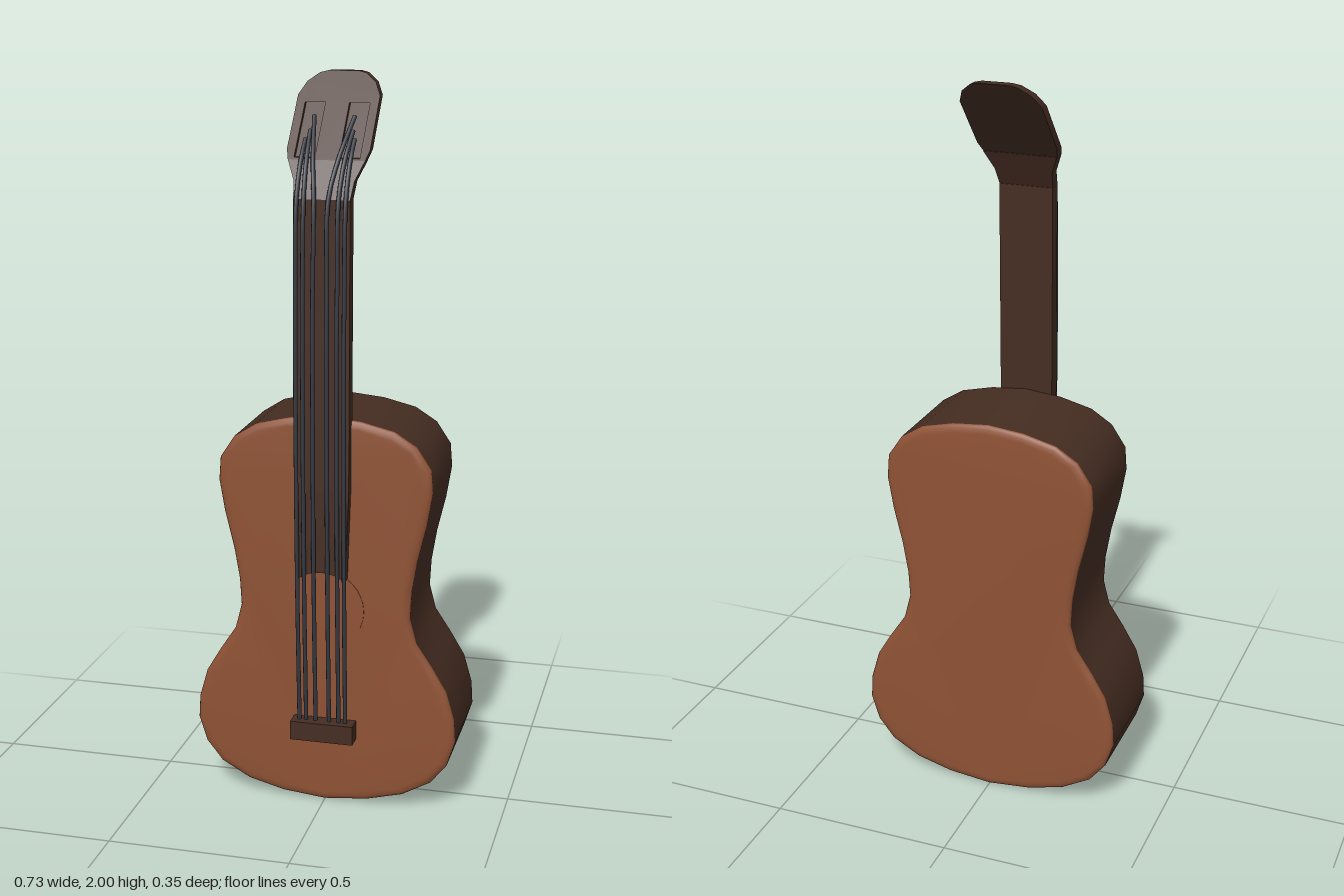
import * as THREE from 'three';
import { toCreasedNormals } from 'three/addons/utils/BufferGeometryUtils.js';

const wood = new THREE.MeshStandardMaterial({ color: 0x8f5235 });
wood.name = 'warm wood';
const darkWood = new THREE.MeshStandardMaterial({ color: 0x452d22 });
darkWood.name = 'dark wood';
const steel = new THREE.MeshStandardMaterial({ color: 0x353841 });
steel.name = 'string steel';

function add(parent, name, geometry, material) {
  const mesh = new THREE.Mesh(geometry, material);
  mesh.name = name;
  parent.add(mesh);
  return mesh;
}

// Closed symmetric shape from right-hand points listed bottom to top
function mirrored(points) {
  const right = points.map(([x, y]) => new THREE.Vector2(x, y));
  const left = points.filter(([x]) => x > 0).reverse().map(([x, y]) => new THREE.Vector2(-x, y));
  return new THREE.Shape([...right, ...left]);
}

// Slab whose front runs from depth zA at height yA to zB at yB
function leaningSlab(shape, [yA, zA], [yB, zB], thickness, inset = 0) {
  const g = new THREE.ExtrudeGeometry(shape, { depth: thickness, bevelEnabled: false, curveSegments: 8 });
  const p = g.attributes.position;
  for (let i = 0; i < p.count; i++) {
    const front = zA + (zB - zA) * (p.getY(i) - yA) / (yB - yA);
    p.setZ(i, p.getZ(i) + front - inset - thickness);
  }
  g.computeVertexNormals();
  return toCreasedNormals(g, 0.5);
}

function rectangle(x0, x1, y0, y1) {
  return new THREE.Path([[x0, y0], [x0, y1], [x1, y1], [x1, y0]].map(([x, y]) => new THREE.Vector2(x, y)));
}

export function createModel() {
  const guitar = new THREE.Group();
  guitar.name = 'guitar';

  // Body: dark side band with rounded front and back plates
  const outline = mirrored([
    [0, 0.005], [0.12, 0.017], [0.22, 0.043], [0.3, 0.088], [0.345, 0.145], [0.367, 0.215],
    [0.363, 0.28], [0.34, 0.36], [0.3, 0.427], [0.255, 0.495], [0.237, 0.565], [0.241, 0.64],
    [0.256, 0.73], [0.28, 0.83], [0.295, 0.92], [0.29, 0.985], [0.25, 1.045], [0.19, 1.083],
    [0.1, 1.105], [0, 1.115],
  ]);
  const band = new THREE.ExtrudeGeometry(outline, { depth: 0.282, bevelEnabled: false });
  band.translate(0, 0, -0.166);
  add(guitar, 'bodySides', toCreasedNormals(band, 0.8), darkWood);
  for (const [name, z] of [['frontPlate', 0.116], ['backPlate', -0.166]]) {
    const plate = new THREE.ExtrudeGeometry(outline, {
      depth: 0.001, bevelThickness: 0.0115, bevelSize: 0.022, bevelOffset: -0.022, bevelSegments: 3,
    });
    plate.translate(0, 0, z - 0.0005);
    add(guitar, name, toCreasedNormals(plate, 0.8), wood);
  }

  // Sound hole disc
  const disc = new THREE.CylinderGeometry(0.112, 0.112, 0.004, 32);
  disc.rotateX(Math.PI / 2);
  add(guitar, 'soundHole', disc, wood).position.set(0, 0.576, 0.128);

  // Bridge
  add(guitar, 'bridge', new THREE.BoxGeometry(0.176, 0.054, 0.05), darkWood).position.set(0.003, 0.228, 0.149);

  // Neck with an arched end around the sound hole
  const low = [0.69, 0.157], nut = [1.69, 0.144], bend = [1.785, 0.095], tip = [2, -0.093];
  const neck = mirrored([[0, 0.69], [0.035, 0.684], [0.066, 0.668], [0.075, 0.92], [0.075, 1.69], [0, 1.69]]);
  add(guitar, 'neck', leaningSlab(neck, low, nut, 0.037), darkWood);

  // Headstock: bend, solid back and slotted front
  const throat = mirrored([[0, 1.69], [0.075, 1.69], [0.08, 1.735], [0.102, 1.785], [0, 1.785]]);
  add(guitar, 'headstockBend', leaningSlab(throat, nut, bend, 0.035), darkWood);
  const headPoints = [[0, 1.785], [0.102, 1.785], [0.11, 1.81], [0.11, 1.94], [0.092, 1.973], [0.062, 1.995], [0.04, 2], [0, 2]];
  add(guitar, 'headstockBack', leaningSlab(mirrored(headPoints), bend, tip, 0.017, 0.015), darkWood);
  const slotted = mirrored(headPoints);
  slotted.holes.push(rectangle(0.032, 0.087, 1.79, 1.922), rectangle(-0.087, -0.032, 1.79, 1.922));
  add(guitar, 'headstockFront', leaningSlab(slotted, bend, tip, 0.015), darkWood);

  // Strings: three mirrored pairs running from bridge to headstock slots
  const strings = new THREE.Group();
  strings.name = 'strings';
  guitar.add(strings);
  const layout = [
    { x: 0.065, endX: 0.065, endY: 1.835 },
    { x: 0.046, endX: 0.057, endY: 1.855 },
    { x: 0.019, endX: 0.054, endY: 1.89 },
  ];
  for (const side of [-1, 1]) {
    for (const { x, endX, endY } of layout) {
      const endZ = 0.098 - 0.874 * (endY - 1.785);
      const path = new THREE.CatmullRomCurve3([
        [x, 0.245, 0.148], [x, 0.65, 0.164], [x, 1.1, 0.17], [x, 1.45, 0.166], [x, 1.69, 0.15],
        [x + (endX - x) * 0.4, 1.785, 0.104], [endX, endY, endZ],
      ].map(([px, py, pz]) => new THREE.Vector3(side * px, py, pz)));
      add(strings, 'string', new THREE.TubeGeometry(path, 40, 0.006, 8), steel);
    }
  }
  return guitar;
}
